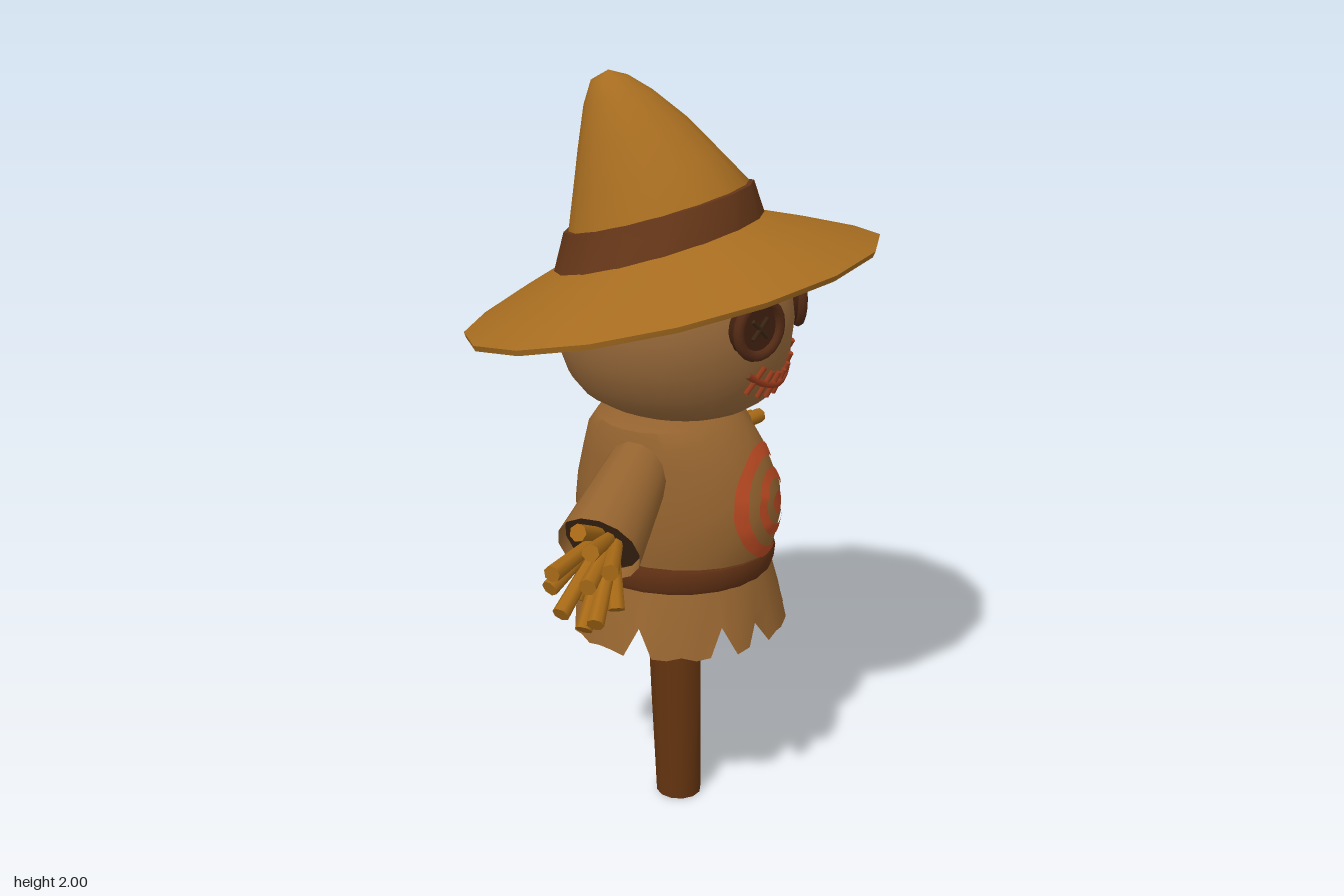
import * as THREE from 'three';
import { toCreasedNormals } from 'three/addons/utils/BufferGeometryUtils.js';

const V = (x, y, z) => new THREE.Vector3(x, y, z);
const mat = (color, side = THREE.FrontSide) => new THREE.MeshStandardMaterial({ color, side });
const COL = {
  hat: 0xa66c20, band: 0x633517, cloth: 0x98693a, shirt: 0x94632f, belt: 0x5e2f13,
  wood: 0x63330f, straw: 0xa86a16, button: 0x40200f, rim: 0x532a15, thread: 0x9a3c1c, paint: 0xbb4a22, dark: 0x3a2412,
};

// Rings are [back z, back y, front z, front y, half width]; index order runs upwards
function loft(rings, seg = 24) {
  const pos = [], index = [];
  rings.forEach(([z0, y0, z1, y1, hw], i) => {
    for (let j = 0; j < seg; j++) {
      const a = (j / seg) * Math.PI * 2, c = Math.cos(a);
      pos.push(hw * Math.sin(a), (y0 + y1) / 2 + ((y1 - y0) / 2) * c, (z0 + z1) / 2 + ((z1 - z0) / 2) * c);
      if (i < rings.length - 1) {
        const p = i * seg + j, q = i * seg + (j + 1) % seg;
        index.push(p, q, q + seg, p, q + seg, p + seg);
      }
    }
  });
  const g = new THREE.BufferGeometry();
  g.setAttribute('position', new THREE.Float32BufferAttribute(pos, 3));
  g.setIndex(index);
  return g;
}
// Level ring
const R = (y, z0, z1, hw) => [z0, y, z1, y, hw];

// Front depth of a lofted body at (x, y)
function frontZ(rings, x, y) {
  let i = 0;
  while (i < rings.length - 2 && rings[i + 1][1] < y) i++;
  const a = rings[i], b = rings[i + 1], t = THREE.MathUtils.clamp((y - a[1]) / (b[1] - a[1]), 0, 1);
  const [z0, , z1, , hw] = a.map((v, k) => v + (b[k] - v) * t);
  return (z0 + z1) / 2 + ((z1 - z0) / 2) * Math.sqrt(Math.max(0, 1 - (x / hw) ** 2));
}

const TORSO = [
  R(0.74, -0.235, 0.26, 0.215), R(0.8, -0.245, 0.28, 0.222), R(0.87, -0.26, 0.295, 0.226), R(0.95, -0.252, 0.29, 0.222),
  R(1.04, -0.232, 0.25, 0.216), R(1.1, -0.217, 0.21, 0.21), R(1.14, -0.19, 0.165, 0.197), R(1.155, -0.15, 0.13, 0.15), R(1.158, 0, 0, 0),
];
const HEAD = [
  R(1.145, 0, 0, 0), R(1.15, -0.13, 0.16, 0.12), R(1.17, -0.18, 0.21, 0.165), R(1.2, -0.232, 0.255, 0.21), R(1.25, -0.268, 0.285, 0.252),
  R(1.32, -0.29, 0.306, 0.285), R(1.4, -0.296, 0.315, 0.3), R(1.48, -0.285, 0.305, 0.293),
  R(1.56, -0.25, 0.26, 0.255), R(1.63, -0.15, 0.17, 0.16), R(1.66, 0, 0, 0),
];

export function createModel() {
  const root = new THREE.Group();
  const body = new THREE.Group();
  body.name = 'scarecrow';
  body.rotation.y = Math.PI / 2;
  root.add(body);

  const add = (parent, name, geo, material, crease) => {
    if (crease) geo = toCreasedNormals(geo, crease);
    else if (!geo.attributes.normal) geo.computeVertexNormals();
    const m = new THREE.Mesh(geo, material);
    m.name = name;
    parent.add(m);
    return m;
  };
  // Tapered rod between two points
  const rod = (parent, name, a, b, ra, rb, seg, material, open = false) => {
    const m = add(parent, name, new THREE.CylinderGeometry(rb, ra, a.distanceTo(b), seg, 1, open), material);
    m.position.copy(a).lerp(b, 0.5);
    m.quaternion.setFromUnitVectors(V(0, 1, 0), b.clone().sub(a).normalize());
    return m;
  };

  // Post with a recessed end
  add(body, 'post', loft([R(0, -0.04, 0.085, 0.06), R(0.3, -0.056, 0.085, 0.06), R(0.7, -0.075, 0.085, 0.06)], 12),
    mat(COL.wood, THREE.DoubleSide), 0.6);
  const end = add(body, 'postEnd', new THREE.CircleGeometry(0.058, 12), mat(COL.straw));
  end.rotation.x = Math.PI / 2;
  end.position.set(0, 0.012, 0.022);

  // Flared skirt with a torn hem
  const seg = 48;
  const skirt = loft([R(0.56, -0.282, 0.312, 0.292), R(0.645, -0.262, 0.29, 0.268), R(0.74, -0.235, 0.265, 0.232)], seg);
  const sp = skirt.attributes.position;
  for (let j = 0; j < seg; j++) sp.setY(j, sp.getY(j) + 0.006 * Math.sin(j * 2.3));
  for (const j of [3, 6, 12, 19, 24, 29, 36, 42, 45]) {
    sp.setXYZ(j, sp.getX(j) * 0.94, j % 2 ? 0.615 : 0.632, sp.getZ(j) * 0.94);
  }
  add(body, 'skirt', skirt, mat(COL.shirt, THREE.DoubleSide), 0.7);
  const under = add(body, 'skirtLining', new THREE.CircleGeometry(0.25, 24), mat(COL.dark));
  under.rotation.x = Math.PI / 2;
  under.position.set(0, 0.665, 0.015);

  // Torso, belt and head
  add(body, 'torso', loft(TORSO), mat(COL.shirt), 0.8);
  add(body, 'belt', loft([R(0.722, -0.22, 0.25, 0.22), R(0.722, -0.245, 0.27, 0.243), R(0.735, -0.25, 0.276, 0.248),
    R(0.77, -0.25, 0.28, 0.248), R(0.782, -0.245, 0.276, 0.243), R(0.782, -0.22, 0.25, 0.21)]), mat(COL.belt), 0.7);
  add(body, 'head', loft(HEAD, 28), mat(COL.cloth));

  // Painted target laid over the chest
  for (const [r0, r1] of [[0, 0.03], [0.06, 0.088], [0.118, 0.15]]) {
    const g = new THREE.RingGeometry(r0, r1, 36, 2), p = g.attributes.position;
    for (let i = 0; i < p.count; i++) {
      const x = p.getX(i), y = p.getY(i) + 0.92;
      p.setXYZ(i, x, y, frontZ(TORSO, x, y) + 0.004);
    }
    g.computeVertexNormals();
    add(body, 'chestTarget', g, mat(COL.paint));
  }

  // Stitched smile
  const smile = (x) => 1.25 + 2.4 * x * x;
  const onFace = (x, y) => V(x, y, frontZ(HEAD, x, y) + 0.008);
  const pts = [];
  for (let i = -6; i <= 6; i++) pts.push(onFace(i * 0.0267, smile(i * 0.0267)));
  add(body, 'mouth', new THREE.TubeGeometry(new THREE.CatmullRomCurve3(pts), 32, 0.009, 6), mat(COL.thread));
  for (let i = -3; i <= 3; i++) {
    const x = i * 0.043, y = smile(x), lean = 0.004 * i;
    rod(body, 'mouthStitch', onFace(x + lean, y - 0.033), onFace(x - lean, y + 0.033), 0.007, 0.007, 6, mat(COL.thread));
  }

  for (const s of [1, -1]) {
    const side = s > 0 ? 'left' : 'right';

    // Button eye with crossed thread
    const eye = new THREE.Group();
    eye.name = side + 'Eye';
    eye.position.set(s * 0.15, 1.432, 0.272);
    eye.rotation.y = s * 0.5;
    body.add(eye);
    add(eye, 'button', new THREE.CylinderGeometry(0.074, 0.074, 0.03, 20), mat(COL.button)).rotation.x = Math.PI / 2;
    add(eye, 'buttonRim', new THREE.TorusGeometry(0.068, 0.014, 8, 20), mat(COL.rim)).position.z = 0.014;
    for (const t of [1, -1]) {
      rod(eye, 'buttonThread', V(-0.024, -0.024 * t, 0.018), V(0.024, 0.024 * t, 0.018), 0.006, 0.006, 6, mat(COL.dark));
    }

    // Arm: wide sleeve and a bunch of straw for a hand
    const arm = new THREE.Group();
    arm.name = side + 'Arm';
    arm.scale.x = s;
    body.add(arm);
    const shoulder = V(0.15, 1.05, -0.02), cuff = V(0.436, 0.92, -0.025);
    rod(arm, 'sleeve', shoulder, cuff, 0.08, 0.108, 14, mat(COL.shirt, THREE.DoubleSide), true);
    rod(arm, 'sleeveLining', shoulder, V(0.41, 0.932, -0.025), 0.07, 0.1, 14, mat(COL.dark));
    const tips = [
      [0.548, 1.01, -0.03], [0.592, 0.985, 0.02], [0.615, 0.925, -0.07], [0.613, 0.905, 0.02], [0.57, 0.93, 0.06],
      [0.565, 0.86, -0.1], [0.592, 0.81, -0.06], [0.595, 0.8, 0.03], [0.548, 0.755, -0.02], [0.485, 0.79, 0.04], [0.48, 0.8, -0.07],
    ];
    for (const [x, y, z] of tips) {
      const root0 = V(0.405, 0.925 + (y - 0.9) * 0.2, -0.025 + (z + 0.025) * 0.4);
      rod(arm, 'strawFinger', root0, V(x, y, z), 0.017, 0.022, 7, mat(COL.straw));
    }
  }

  // Tilted hat: brim shell, ribbon and a crown leaning back
  const hat = new THREE.Group();
  hat.name = 'hat';
  body.add(hat);
  add(hat, 'brim', loft([
    [-0.25, 1.48, 0.2, 1.625, 0.235], [-0.4, 1.405, 0.37, 1.61, 0.39], [-0.522, 1.328, 0.518, 1.592, 0.527],
    [-0.527, 1.342, 0.524, 1.607, 0.531], [-0.4, 1.432, 0.37, 1.637, 0.395], [-0.28, 1.512, 0.21, 1.665, 0.25],
  ], 16), mat(COL.hat, THREE.DoubleSide), 0.6);
  add(hat, 'hatBand', loft([
    [-0.27, 1.495, 0.2, 1.645, 0.24], [-0.297, 1.5, 0.232, 1.655, 0.272], [-0.274, 1.6, 0.205, 1.742, 0.226], [-0.255, 1.602, 0.185, 1.742, 0.205],
  ], 16), mat(COL.band), 0.6);
  add(hat, 'crown', loft([
    [-0.275, 1.53, 0.21, 1.68, 0.24], [-0.262, 1.6, 0.193, 1.742, 0.215], [-0.25, 1.7, 0.115, 1.815, 0.178],
    [-0.238, 1.81, 0.035, 1.89, 0.135], [-0.225, 1.915, -0.055, 1.955, 0.085], [-0.208, 1.975, -0.115, 1.988, 0.045], [-0.165, 2, -0.165, 2, 0],
  ], 16), mat(COL.hat));

  return root;
}
